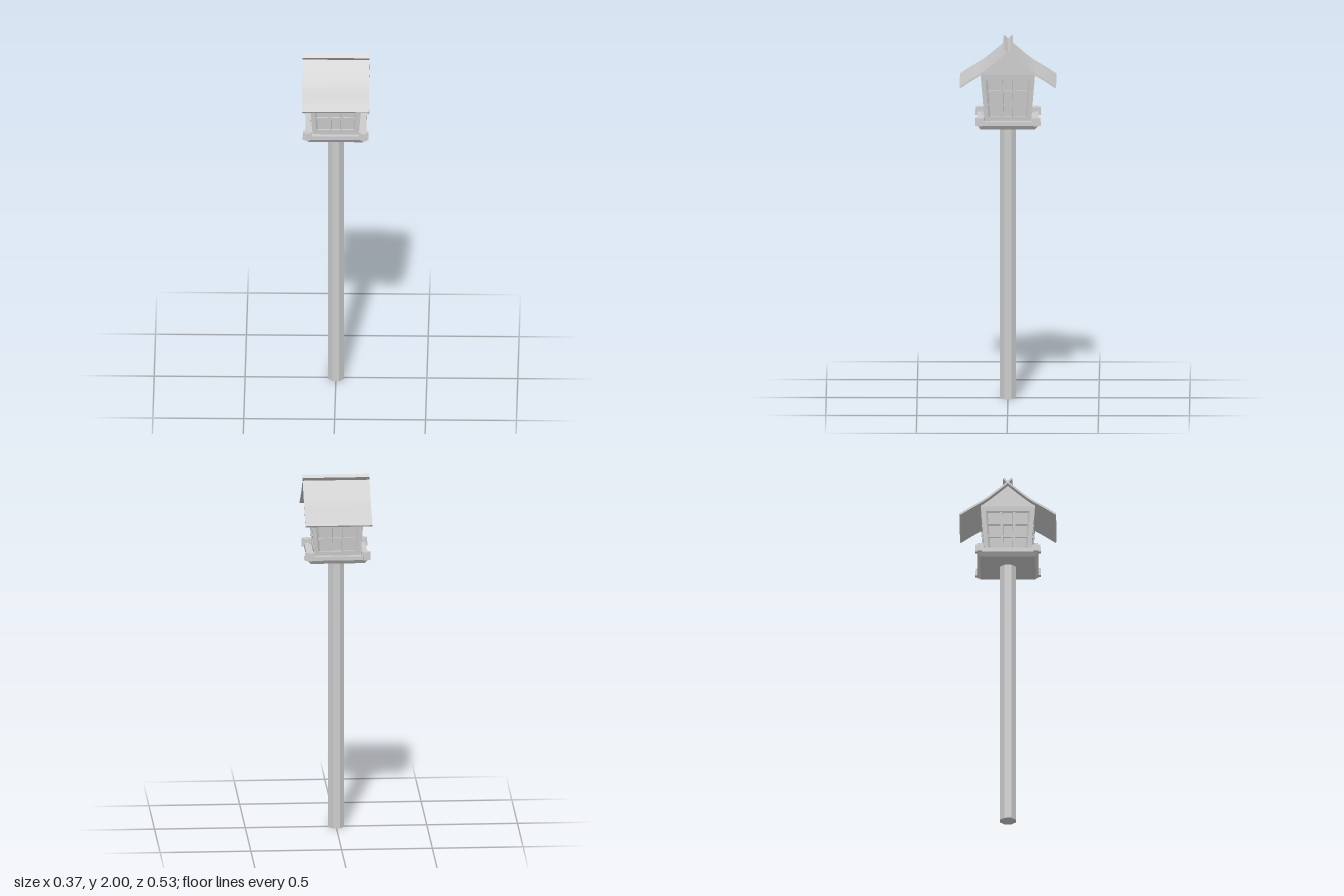
import * as THREE from 'three';
import { toCreasedNormals } from 'three/addons/utils/BufferGeometryUtils.js';

const material = new THREE.MeshStandardMaterial({ color: 0xcccccc, flatShading: true });
const smooth = new THREE.MeshStandardMaterial({ color: 0xcccccc });

// Body half-width, growing with height so that the walls lean outwards
const SILL = 1.57, EAVE = 1.84;
const half = (y) => 0.127 + 0.022 * THREE.MathUtils.clamp((y - SILL) / (EAVE - SILL), 0, 1);

function part(parent, name, geometry, mat = material) {
  const mesh = new THREE.Mesh(geometry, mat);
  mesh.name = name;
  parent.add(mesh);
  return mesh;
}

function box(parent, name, w, h, d, x, y, z) {
  const mesh = part(parent, name, new THREE.BoxGeometry(w, h, d));
  mesh.position.set(x, y, z);
  return mesh;
}

function polygon(points, Type = THREE.Shape) {
  return new Type(points.map(([x, y]) => new THREE.Vector2(x, y)));
}

const rect = (u0, u1, y0, y1) => [[u0, y0], [u1, y0], [u1, y1], [u0, y1]];

// Turns a flat panel (u from -1 to 1, y) into a leaning slab; inset is the depth behind the wall face
function leaning(shape, thickness, inset) {
  const g = new THREE.ExtrudeGeometry(shape, { depth: thickness, bevelEnabled: false });
  const p = g.attributes.position;
  for (let i = 0; i < p.count; i++) {
    const h = half(p.getY(i));
    const depth = inset + thickness - p.getZ(i);
    p.setXYZ(i, p.getX(i) * (h - depth), p.getY(i), h - depth);
  }
  g.computeVertexNormals();
  return g;
}

function createWall() {
  const wall = new THREE.Group();
  wall.name = 'wall';
  const frame = polygon(rect(-1, 1, SILL, EAVE));
  frame.holes.push(polygon(rect(-0.83, 0.83, 1.6, 1.81), THREE.Path));
  part(wall, 'windowFrame', leaning(frame, 0.018, 0));
  part(wall, 'windowPane', leaning(polygon(rect(-0.9, 0.9, 1.59, 1.82)), 0.004, 0.014));
  // Lattice of two uprights and two crossbars
  for (const u of [-0.25, 0.25]) {
    part(wall, 'windowUpright', leaning(polygon(rect(u - 0.05, u + 0.05, 1.6, 1.81)), 0.01, 0.004));
  }
  for (const y of [1.67, 1.742]) {
    part(wall, 'windowCrossbar', leaning(polygon(rect(-0.84, 0.84, y - 0.006, y + 0.006)), 0.009, 0.005));
  }
  return wall;
}

// Extrudes a (z, y) section along x
function alongX(shape, width) {
  const g = new THREE.ExtrudeGeometry(shape, { depth: width, bevelEnabled: false });
  g.translate(0, 0, -width / 2);
  g.rotateY(-Math.PI / 2);
  return g;
}

function createRoof() {
  const roof = new THREE.Group();
  roof.name = 'roof';
  const curve = new THREE.SplineCurve([
    [0.263, 1.778], [0.2, 1.82], [0.13, 1.863], [0.07, 1.911], [0, 1.972], [-0.023, 1.996],
  ].map(([z, y]) => new THREE.Vector2(z, y)));
  const top = [], under = [];
  for (let i = 0; i <= 20; i++) {
    const c = curve.getPoint(i / 20), t = curve.getTangent(i / 20);
    top.push([c.x + t.y * 0.005, c.y - t.x * 0.005]);
    under.unshift([c.x - t.y * 0.005, c.y + t.x * 0.005]);
  }
  // Two curved sheets that cross at the ridge
  for (const turn of [0, Math.PI]) {
    const sheet = part(roof, 'roofSheet',
      toCreasedNormals(alongX(polygon([...top, ...under]), 0.368), 0.6), smooth);
    sheet.rotation.y = turn;
  }
  // Gable walls filling the ends under the sheets
  const gable = polygon([
    [-0.149, EAVE], [0.149, EAVE], [0.147, 1.852], [0.1, 1.886], [0.07, 1.911],
    [0, 1.97], [-0.07, 1.911], [-0.1, 1.886], [-0.147, 1.852],
  ]);
  for (const side of [-1, 1]) {
    part(roof, 'gable', alongX(gable, 0.018)).position.x = side * 0.14;
  }
  return roof;
}

function createPlatform() {
  const platform = new THREE.Group();
  platform.name = 'platform';
  // Tapered tray under the floor
  const tray = new THREE.CylinderGeometry(0.168 * Math.SQRT2, 0.15 * Math.SQRT2, 0.026, 4);
  tray.rotateY(Math.PI / 4);
  part(platform, 'tray', tray).position.y = 1.549;
  box(platform, 'floor', 0.33, 0.012, 0.33, 0, 1.566, 0);
  // Rails crossing at the corners, with raised ends
  for (const s of [-1, 1]) {
    box(platform, 'crossRail', 0.362, 0.022, 0.026, 0, 1.569, s * 0.155);
    box(platform, 'sideRail', 0.026, 0.024, 0.362, s * 0.155, 1.57, 0);
    for (const t of [-1, 1]) {
      box(platform, 'crossRailEnd', 0.05, 0.025, 0.024, s * 0.155, 1.591, t * 0.155);
      box(platform, 'sideRailEnd', 0.024, 0.023, 0.05, s * 0.155, 1.59, t * 0.155);
    }
  }
  return platform;
}

export function createModel() {
  const model = new THREE.Group();
  model.name = 'lanternPost';

  // Eight-sided post with flat faces to the front and sides
  const post = new THREE.CylinderGeometry(0.0475, 0.0475, 1.545, 8);
  post.rotateY(Math.PI / 8);
  part(model, 'post', post).position.y = 0.7725;

  model.add(createPlatform());

  const body = new THREE.Group();
  body.name = 'body';
  for (let i = 0; i < 4; i++) {
    const wall = createWall();
    wall.rotation.y = i * Math.PI / 2;
    body.add(wall);
  }
  model.add(body, createRoof());
  return model;
}
